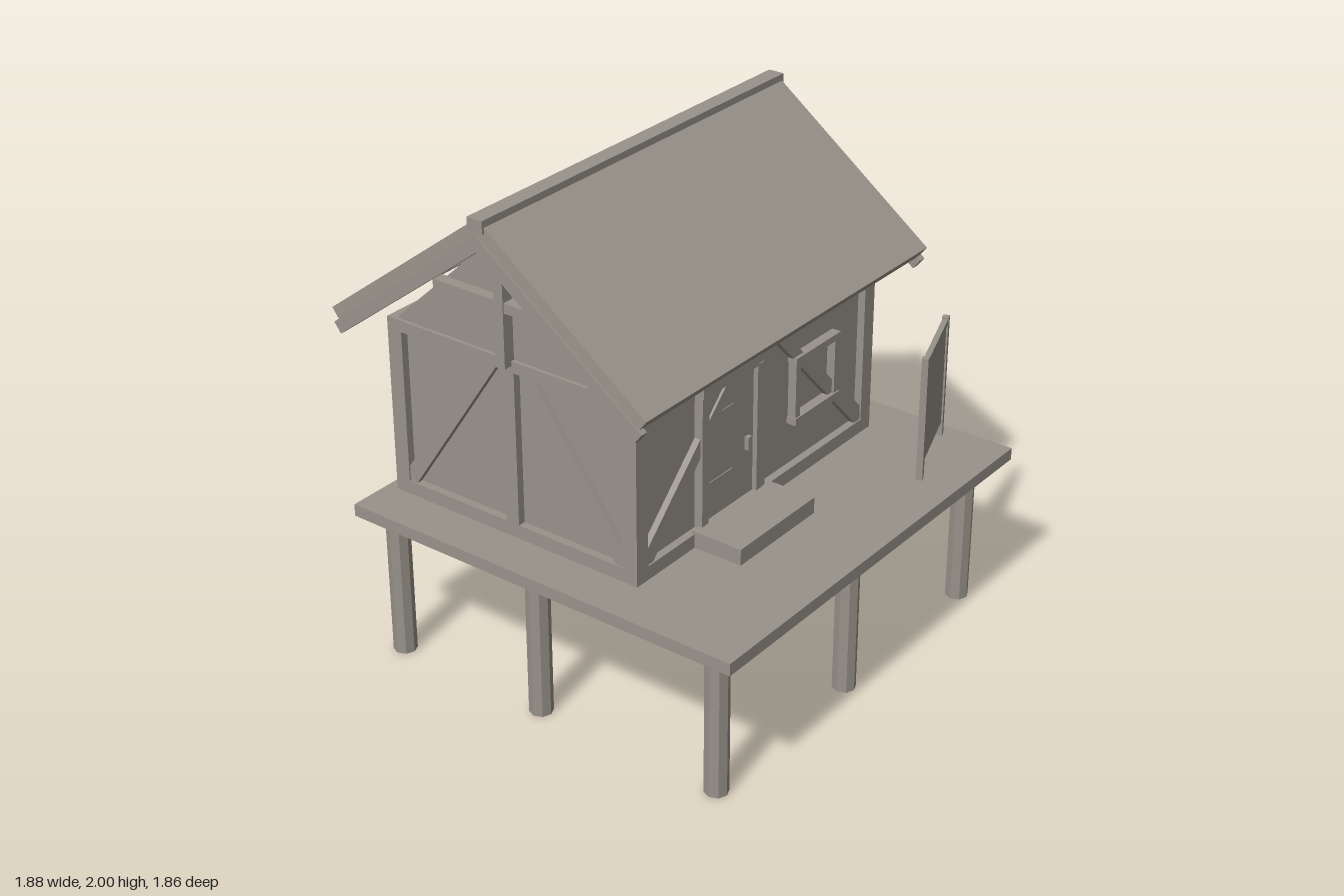
import * as THREE from 'three';

export function createModel() {
  const house = new THREE.Group();
  house.name = 'stiltHouse';
  const wood = new THREE.MeshStandardMaterial({ color: 0x98928a });
  wood.name = 'weathered wood';
  const thatch = new THREE.MeshStandardMaterial({ color: 0x9b968b });
  thatch.name = 'roof boards';

  const add = (name, geo, parent = house, mat = wood) => {
    const m = new THREE.Mesh(geo, mat);
    m.name = name;
    parent.add(m);
    return m;
  };
  // box given by its limits on each axis
  const box = (name, x0, x1, y0, y1, z0, z1, parent, mat) => {
    const m = add(name, new THREE.BoxGeometry(x1 - x0, y1 - y0, z1 - z0), parent, mat);
    m.position.set((x0 + x1) / 2, (y0 + y1) / 2, (z0 + z1) / 2);
    return m;
  };
  // flat polygon extruded from z = z0 to z1
  const plate = (name, pts, z0, z1, parent) => {
    const shape = new THREE.Shape(pts.map(([x, y]) => new THREE.Vector2(x, y)));
    const geo = new THREE.ExtrudeGeometry(shape, { depth: z1 - z0, bevelEnabled: false });
    return add(name, geo.translate(0, 0, z0), house, wood) && parent.add(house.children.at(-1));
  };
  const group = (name, x, z, turn) => {
    const g = new THREE.Group();
    g.name = name;
    g.position.set(x, 0, z);
    g.rotation.y = turn;
    house.add(g);
    return g;
  };

  // stilts and deck
  const postGeo = new THREE.CylinderGeometry(0.047, 0.047, 0.63, 8).toNonIndexed();
  postGeo.computeVertexNormals();
  for (const x of [-0.82, 0, 0.82])
    for (const z of [0.79, -0.03, -0.725])
      add('stilt', postGeo).position.set(x, 0.315, z);
  box('deck', -0.94, 0.94, 0.62, 0.67, -0.83, 0.93);
  box('doorStep', -0.41, 0.06, 0.67, 0.737, 0.37, 0.59);

  // wall infill, set back behind the timber frame
  const midZ = -0.2;
  box('wallInfill', -0.72, 0.72, 0.67, 1.4, -0.75, 0.35);

  // timber frame of one wall; local z = 0 is its outer face
  const frame = (name, half, x, z, turn) => {
    const g = group(name, x, z, turn);
    box('sill', -half, half, 0.67, 0.727, -0.06, 0, g);
    box('topPlate', -half, half, 1.358, 1.405, -0.06, 0, g);
    box('middlePost', -0.03, 0.03, 0.72, 1.36, -0.06, 0, g);
    for (const s of [-1, 1]) {
      const o = half - 0.065;
      box('cornerPost', Math.min(s * o, s * half), Math.max(s * o, s * half), 0.67, 1.4, -0.06, 0, g);
      const pts = [[o, 0.72], [o, 0.79], [0.11, 1.36], [0.055, 1.36], [o - 0.03, 0.72]];
      plate('brace', pts.map(([u, y]) => [s * u, y]), -0.05, -0.006, g);
    }
    return g;
  };
  frame('frontFrame', 0.752, 0, 0.382, 0);
  frame('backFrame', 0.752, 0, -0.782, Math.PI);

  // end walls with gable, king post and collar beam
  for (const s of [-1, 1]) {
    const g = frame('endFrame', 0.58, s * 0.752, midZ, s * Math.PI / 2);
    plate('gable', [[-0.55, 1.4], [0.55, 1.4], [0, 1.91]], -0.04, -0.015, g);
    box('kingPost', -0.021, 0.021, 1.385, 1.905, -0.02, 0.035, g);
    box('collarBeam', -0.313, 0.313, 1.605, 1.645, -0.02, 0.03, g);
  }

  // door
  box('door', -0.33, -0.03, 0.735, 1.27, 0.33, 0.366);
  box('doorJamb', -0.37, -0.33, 0.67, 1.27, 0.33, 0.386);
  box('doorJamb', -0.03, 0.012, 0.67, 1.27, 0.33, 0.386);
  box('doorHeader', -0.37, -0.03, 1.27, 1.31, 0.33, 0.392);
  box('doorHandle', -0.082, -0.06, 0.93, 0.985, 0.36, 0.385);
  for (const y of [0.87, 1.14]) box('doorHinge', -0.325, -0.16, y, y + 0.02, 0.36, 0.37);

  // window frame
  box('windowLintel', 0.215, 0.51, 1.165, 1.193, 0.33, 0.39);
  box('windowSill', 0.215, 0.51, 0.907, 0.937, 0.33, 0.392);
  box('windowJamb', 0.22, 0.25, 0.93, 1.17, 0.33, 0.386);
  box('windowJamb', 0.48, 0.51, 0.93, 1.17, 0.33, 0.386);

  // roof slopes; local +x runs down the slope from the ridge, +z is along the house
  const pitch = Math.atan2(0.55, 0.73);
  const run = Math.hypot(0.55, 0.73);
  for (const s of [-1, 1]) {
    const side = group(s > 0 ? 'frontRoof' : 'backRoof', 0, midZ, -s * Math.PI / 2);
    const slope = new THREE.Group();
    slope.name = 'roofSlope';
    slope.position.y = 1.998;
    slope.rotation.z = -pitch;
    side.add(slope);
    box('roofPanel', 0, run, -0.055, 0, -0.882, 0.882, slope, thatch);
    box('eaveBatten', run - 0.06, run - 0.004, -0.075, -0.05, -0.86, 0.86, slope);
    for (const e of [-0.875, 0.875])
      box('rafter', 0.04, run + 0.02, -0.1, -0.05, e - 0.016, e + 0.016, slope);
  }
  box('ridgeBeam', -0.892, 0.892, 1.95, 2, midZ - 0.034, midZ + 0.034);

  // standing screen on the deck
  const screen = group('screen', 0.692, 0.705, Math.atan2(0.127, 0.348));
  for (const x of [-0.185, 0.185])
    box('screenPost', x - 0.013, x + 0.013, 0.67, 1.193, -0.013, 0.013, screen);
  box('screenRail', -0.18, 0.18, 1.163, 1.185, -0.011, 0.011, screen);
  box('screenPanel', -0.175, 0.175, 0.73, 1.152, -0.006, 0.006, screen);

  return house;
}
